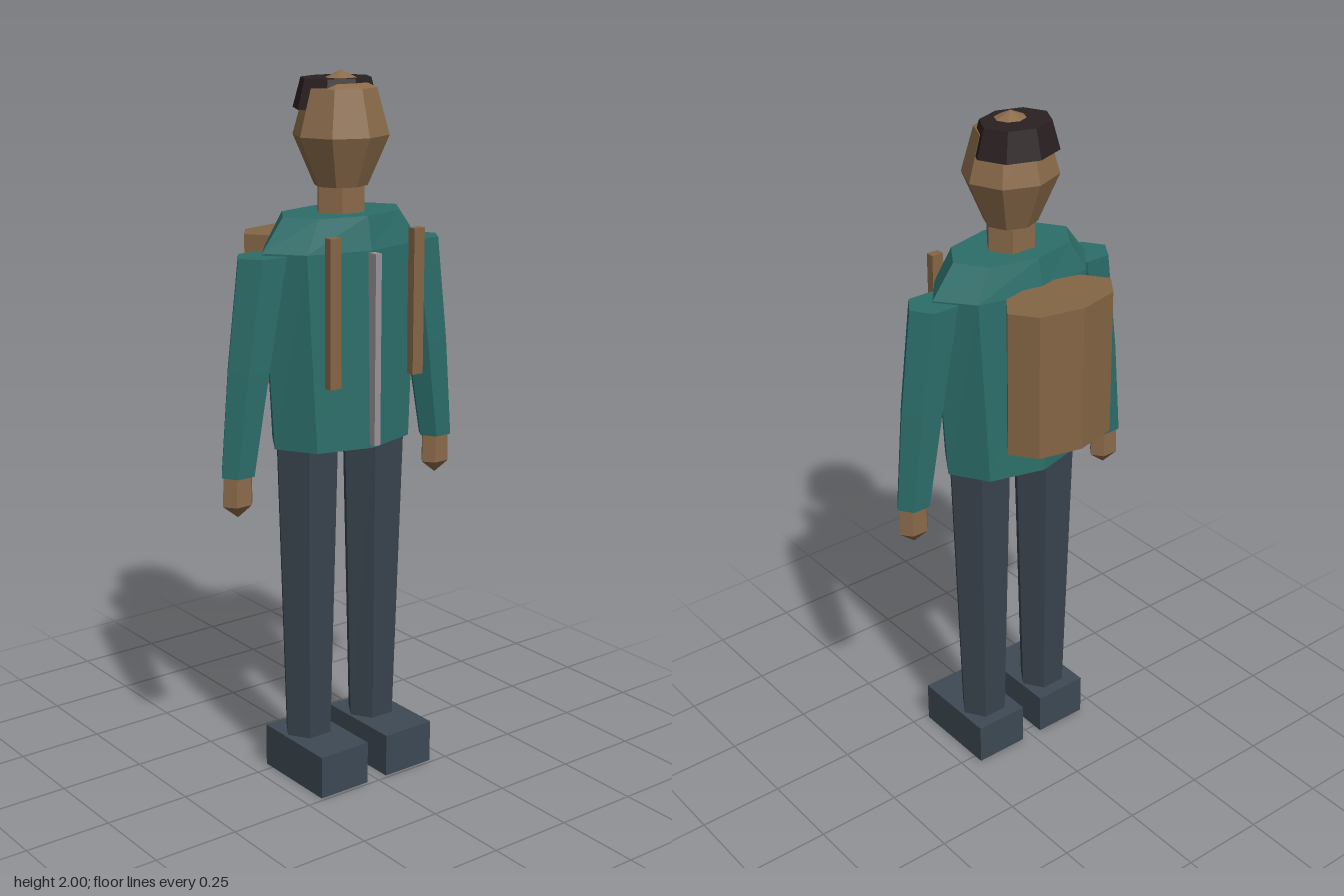
import * as THREE from 'three';

const flat = (name, color) => {
  const m = new THREE.MeshStandardMaterial({ color, flatShading: true });
  m.name = name;
  return m;
};

// Faceted solid through elliptical rings [cx, y, cz, rx, rz], listed bottom to top
function loft(sides, rings) {
  const pos = [];
  const point = ([cx, y, cz, rx, rz], i) => {
    const a = (i / sides) * Math.PI * 2;
    return [cx + rx * Math.cos(a), y, cz - rz * Math.sin(a)];
  };
  const centre = (r) => [r[0], r[1], r[2]];
  const last = rings[rings.length - 1];
  for (let i = 0; i < sides; i++) {
    for (let k = 0; k < rings.length - 1; k++) {
      const a = point(rings[k], i), b = point(rings[k], i + 1);
      const c = point(rings[k + 1], i + 1), d = point(rings[k + 1], i);
      if (rings[k][3] > 0) pos.push(...a, ...b, ...c);
      else pos.push(...a, ...c, ...d);
      if (rings[k][3] > 0 && rings[k + 1][3] > 0) pos.push(...a, ...c, ...d);
    }
    if (rings[0][3] > 0) pos.push(...centre(rings[0]), ...point(rings[0], i + 1), ...point(rings[0], i));
    if (last[3] > 0) pos.push(...centre(last), ...point(last, i), ...point(last, i + 1));
  }
  const g = new THREE.BufferGeometry();
  g.setAttribute('position', new THREE.Float32BufferAttribute(pos, 3));
  g.computeVertexNormals();
  return g;
}

// Box given by its extents
function box(x0, x1, y0, y1, z0, z1) {
  return new THREE.BoxGeometry(x1 - x0, y1 - y0, z1 - z0)
    .translate((x0 + x1) / 2, (y0 + y1) / 2, (z0 + z1) / 2);
}

export function createModel() {
  const group = new THREE.Group();
  const jacketMat = flat('jacket teal', 0x2c6e6a);
  const skinMat = flat('skin', 0x8a6a4a);
  const hairMat = flat('hair', 0x2a2021);
  const trouserMat = flat('trousers', 0x39434d);
  const shoeMat = flat('shoes', 0x3d4954);
  const packMat = flat('backpack', 0x846545);
  const zipMat = flat('zip', 0x989294);
  const add = (name, geometry, material) => {
    const m = new THREE.Mesh(geometry, material);
    m.name = name;
    group.add(m);
  };
  const Z = 0.063; // depth of the body axis

  // Jacket body with sloping shoulders
  add('torso', loft(8, [
    [0, 0.99, Z, 0.225, 0.149],
    [0, 1.535, Z, 0.262, 0.137],
    [0, 1.625, Z, 0.193, 0.119],
  ]), jacketMat);
  add('zip', box(-0.01, 0.01, 1.0, 1.53, 0.19, 0.23), zipMat);

  // Neck, head and cap of hair
  add('neck', loft(6, [[0, 1.6, Z, 0.075, 0.065], [0, 1.72, Z, 0.075, 0.065]]), skinMat);
  add('head', loft(8, [
    [0, 1.695, Z, 0.075, 0.07],
    [0, 1.83, Z, 0.136, 0.125],
    [0, 1.955, Z, 0.1, 0.092],
    [0, 2.0, Z, 0, 0],
  ]), skinMat);
  add('hair', loft(8, [
    [0, 1.9, 0.04, 0.126, 0.105],
    [0, 1.98, 0.04, 0.103, 0.085],
  ]), hairMat);

  // Backpack
  add('backpack', loft(8, [
    [0, 1.13, -0.145, 0.176, 0.098],
    [0, 1.55, -0.145, 0.176, 0.098],
  ]), packMat);

  // Paired limbs, shoes and straps
  for (const [side, s] of [['left', 1], ['right', -1]]) {
    add(side + 'Arm', loft(6, [
      [s * 0.347, 0.94, Z, 0.053, 0.046],
      [s * 0.308, 1.23, Z, 0.067, 0.058],
      [s * 0.26, 1.53, Z, 0.077, 0.067],
    ]), jacketMat);
    add(side + 'Hand', loft(6, [
      [s * 0.349, 0.82, Z, 0, 0],
      [s * 0.349, 0.858, Z, 0.048, 0.036],
      [s * 0.349, 0.95, Z, 0.046, 0.035],
    ]), skinMat);
    add(side + 'Leg', loft(6, [
      [s * 0.114, 0.12, Z, 0.073, 0.066],
      [s * 0.116, 1.055, Z, 0.101, 0.089],
    ]), trouserMat);
    const mid = s * 0.116;
    add(side + 'Shoe', box(mid - 0.082, mid + 0.082, 0, 0.125, -0.03, 0.24), shoeMat);
    const strap = s * 0.141;
    add(side + 'Strap', box(strap - 0.018, strap + 0.018, 1.18, 1.585, 0.203, 0.228), packMat);
  }
  return group;
}
